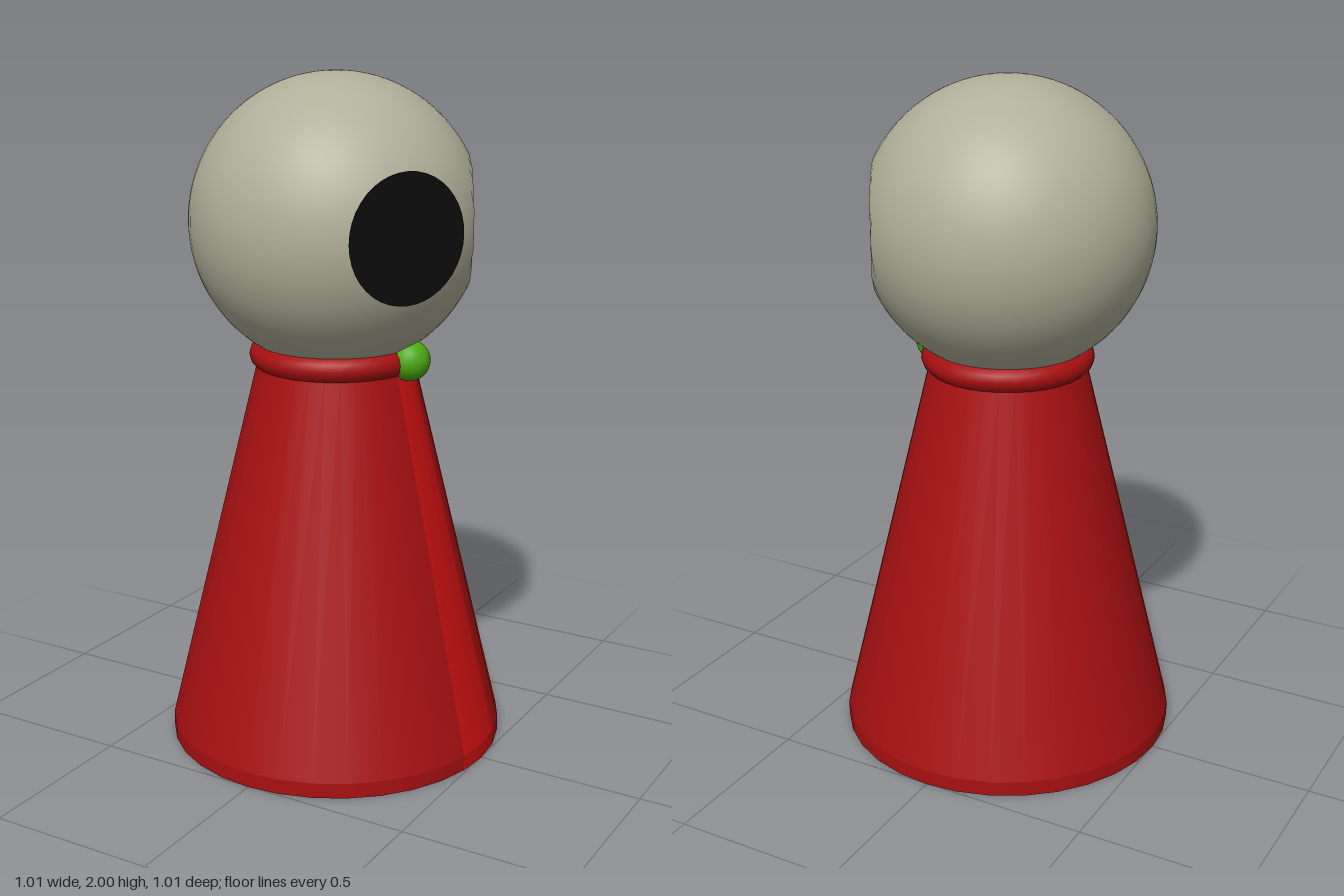
import * as THREE from 'three';

const mat = (color) => new THREE.MeshStandardMaterial({ color });
const RED = mat(0xa81012), BRIGHT = mat(0xcc1010), BONE = mat(0xb0af98);
const BLACK = mat(0x0d0d0d), GREEN = mat(0x4caa10);

const HEAD_Y = 1.575, HEAD_R = 0.425;
const EYE_DIST = 0.384, EYE_R = 0.183, EYE_ANGLE = Math.PI / 6;

function add(group, name, geometry, material, x = 0, y = 0, z = 0) {
  const mesh = new THREE.Mesh(geometry, material);
  mesh.name = name;
  mesh.position.set(x, y, z);
  group.add(mesh);
  return mesh;
}

export function createModel() {
  const model = new THREE.Group();
  model.name = 'pegFigure';

  // Robe: short upright hem and a long cone, with a brighter strip facing +x
  const half = Math.PI / 16;
  const sectors = [
    ['robe', RED, 30, Math.PI / 2 + half, Math.PI * 2 - half * 2],
    ['robeStrip', BRIGHT, 2, Math.PI / 2 - half, half * 2],
  ];
  for (const [name, material, segments, start, length] of sectors) {
    add(model, name + 'Hem', new THREE.CylinderGeometry(0.503, 0.503, 0.045, segments, 1, true, start, length), material, 0, 0.0225);
    add(model, name, new THREE.CylinderGeometry(0.225, 0.503, 1.145, segments, 1, true, start, length), material, 0, 0.6175);
  }
  add(model, 'robeBase', new THREE.CircleGeometry(0.503, 32).rotateX(Math.PI / 2), RED);

  // Collar and its round clasp
  add(model, 'collar', new THREE.TorusGeometry(0.216, 0.039, 12, 32).rotateX(Math.PI / 2), RED, 0, 1.185);
  add(model, 'clasp', new THREE.SphereGeometry(0.06, 24, 16), GREEN, 0.245, 1.19);

  // Head: a sphere flattened to a plane behind each eye
  const eyeNormals = [1, -1].map((s) => new THREE.Vector3(Math.cos(EYE_ANGLE), 0, s * Math.sin(EYE_ANGLE)));
  const head = new THREE.SphereGeometry(HEAD_R, 64, 48);
  const p = new THREE.Vector3();
  const pos = head.attributes.position;
  for (let i = 0; i < pos.count; i++) {
    p.fromBufferAttribute(pos, i);
    for (const n of eyeNormals) {
      const d = p.dot(n);
      if (d > EYE_DIST) p.multiplyScalar(EYE_DIST / d);
    }
    pos.setXYZ(i, p.x, p.y, p.z);
  }
  add(model, 'head', head, BONE, 0, HEAD_Y);

  // Eyes: flat dark discs lying on the flattened planes
  eyeNormals.forEach((n, i) => {
    const c = n.clone().multiplyScalar(EYE_DIST + 0.003);
    const eye = add(model, i ? 'rightEye' : 'leftEye', new THREE.CircleGeometry(EYE_R, 40), BLACK, c.x, HEAD_Y, c.z);
    eye.quaternion.setFromUnitVectors(new THREE.Vector3(0, 0, 1), n);
  });

  return model;
}
